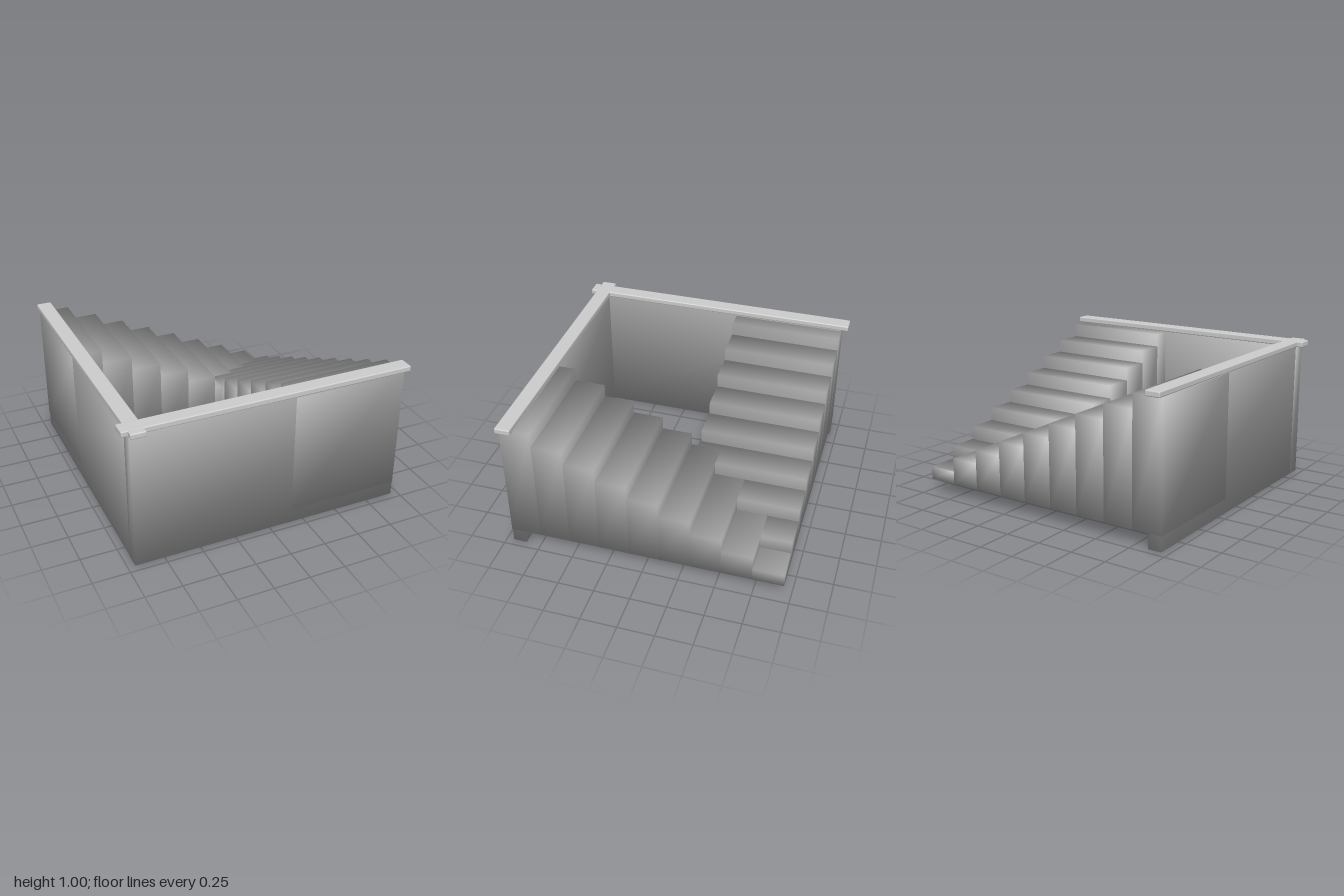
import * as THREE from 'three';
import { RoundedBoxGeometry } from 'three/addons/geometries/RoundedBoxGeometry.js';

const railMaterial = new THREE.MeshStandardMaterial({ color: 0xcccccc });
const bodyMaterial = new THREE.MeshStandardMaterial({ color: 0x9c9c9c });

function place(name, geometry, material, x, y, z) {
  const mesh = new THREE.Mesh(geometry, material);
  mesh.name = name;
  mesh.position.set(x, y, z);
  return mesh;
}

// Box between two corners; each corner's normal points diagonally outward for soft shading
function softBox(name, [x0, y0, z0], [x1, y1, z1]) {
  const geometry = new THREE.BoxGeometry(x1 - x0, y1 - y0, z1 - z0);
  const { position, normal } = geometry.attributes;
  const n = new THREE.Vector3();
  for (let i = 0; i < position.count; i++) {
    n.set(Math.sign(position.getX(i)), Math.sign(position.getY(i)), Math.sign(position.getZ(i))).normalize();
    normal.setXYZ(i, n.x, n.y, n.z);
  }
  return place(name, geometry, bodyMaterial, (x0 + x1) / 2, (y0 + y1) / 2, (z0 + z1) / 2);
}

export function createModel() {
  const model = new THREE.Group();
  model.name = 'cornerStaircase';

  const outer = 0.95;       // half width of the square plan
  const inner = 0.855;      // inside face of the walls
  const wallTop = 0.96;
  const flightEdge = 0.16;  // inner edge of both flights
  const base = 0.1;         // underside of the steps
  const count = 9;
  const tread = (2 * outer) / count;
  const rise = 0.0955;
  const skin = 0.002;       // steps sit just proud of the walls

  // Two walls meeting at a corner
  model.add(softBox('frontWall', [-outer, 0, inner], [outer, wallTop, outer]));
  model.add(softBox('sideWall', [-outer + skin, 0, -outer], [-inner, wallTop, outer - skin]));

  // Rails crossing on top of the walls
  const railY = 0.98;
  model.add(place('frontRail', new RoundedBoxGeometry(2, 0.04, 0.105, 2, 0.008), railMaterial, 0, railY, 0.903));
  model.add(place('sideRail', new RoundedBoxGeometry(0.105, 0.038, 2, 2, 0.008), railMaterial, -0.905, railY, 0));

  // Two flights of solid steps that descend to the same open corner
  const sideFlight = new THREE.Group();
  sideFlight.name = 'sideFlight';
  const backFlight = new THREE.Group();
  backFlight.name = 'backFlight';
  for (let i = 0; i < count; i++) {
    const top = base + rise * (i + 1) - 0.004;
    const a = -outer + i * tread;
    const b = a + tread;
    const end = i === count - 1 ? skin : 0;
    sideFlight.add(softBox('sideStep', [flightEdge, base, a], [outer + skin, top, b + end]));
    backFlight.add(softBox('backStep', [-b - end, base + skin, -outer - skin], [-a, top - 0.001, -flightEdge]));
  }
  model.add(sideFlight, backFlight);
  return model;
}
